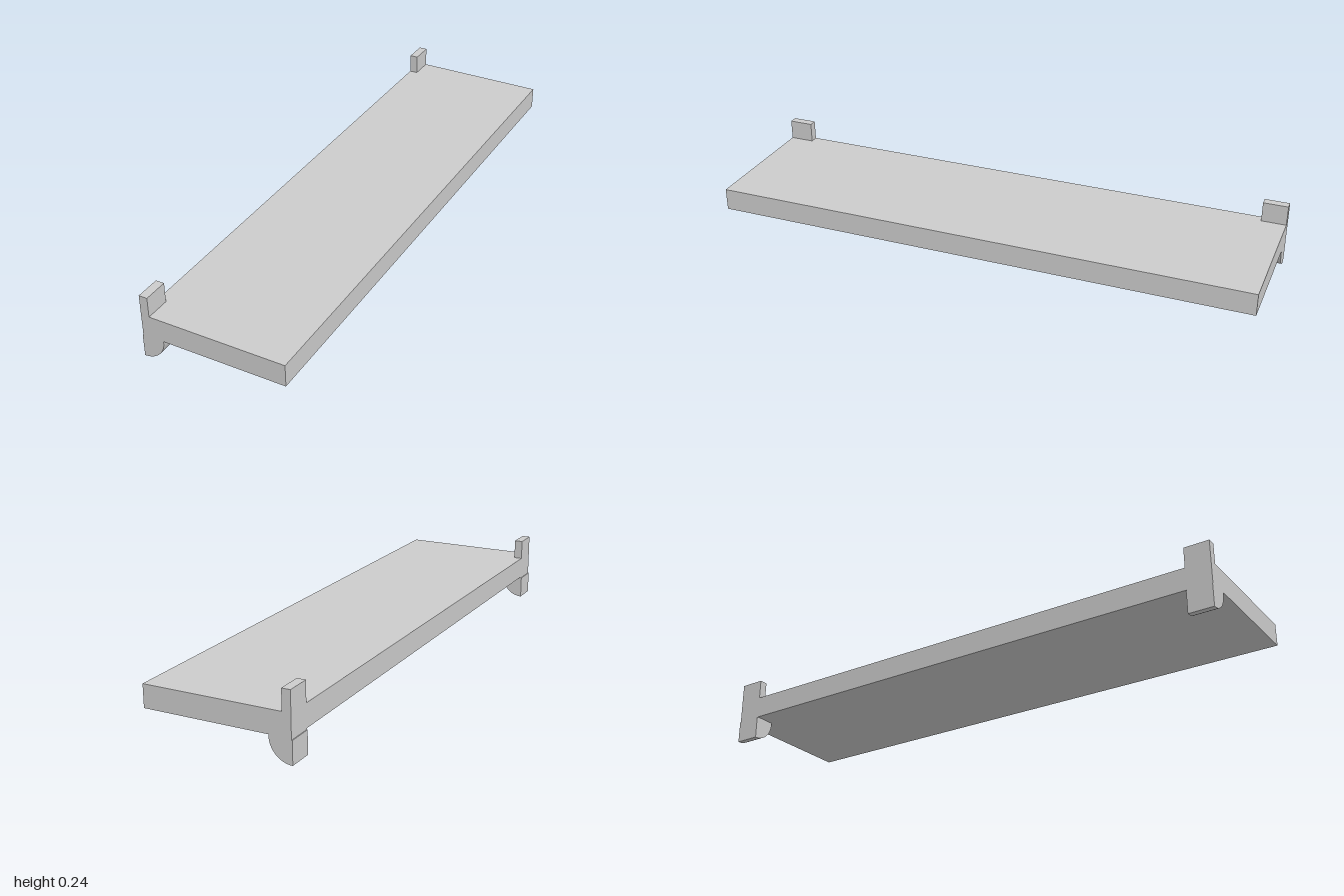
import * as THREE from 'three';

const material = new THREE.MeshStandardMaterial({ color: 0xcccccc });

// Box given by its minimum and maximum corners
function box(name, [x0, y0, z0], [x1, y1, z1]) {
  const mesh = new THREE.Mesh(new THREE.BoxGeometry(x1 - x0, y1 - y0, z1 - z0), material);
  mesh.position.set((x0 + x1) / 2, (y0 + y1) / 2, (z0 + z1) / 2);
  mesh.name = name;
  return mesh;
}

export function createModel() {
  const group = new THREE.Group();
  group.name = 'shelf';
  const slabLeft = -0.263, slabBottom = 0.085, slabTop = 0.166;
  const footLeft = -0.266, radius = 0.081, depth = 0.09;

  group.add(box('board', [slabLeft, slabBottom, -1], [0.264, slabTop, 1]));

  // Quarter-round foot profile, with a short neck up to the board
  const profile = new THREE.Shape();
  profile.moveTo(footLeft, radius);
  profile.lineTo(footLeft, 0);
  profile.absarc(footLeft, radius, radius, -Math.PI / 2, 0, false);
  profile.lineTo(footLeft + radius, slabBottom);
  profile.lineTo(slabLeft, slabBottom);
  profile.lineTo(slabLeft, radius);
  const footGeometry = new THREE.ExtrudeGeometry(profile, { depth, bevelEnabled: false, curveSegments: 24 });

  // An upright tab and a foot at each end of the board
  for (const [end, z] of [['front', 1 - depth], ['back', -1]]) {
    group.add(box(end + 'Tab', [slabLeft, slabTop, z], [-0.232, 0.239, z + depth]));
    const foot = new THREE.Mesh(footGeometry, material);
    foot.position.z = z;
    foot.name = end + 'Foot';
    group.add(foot);
  }
  return group;
}
